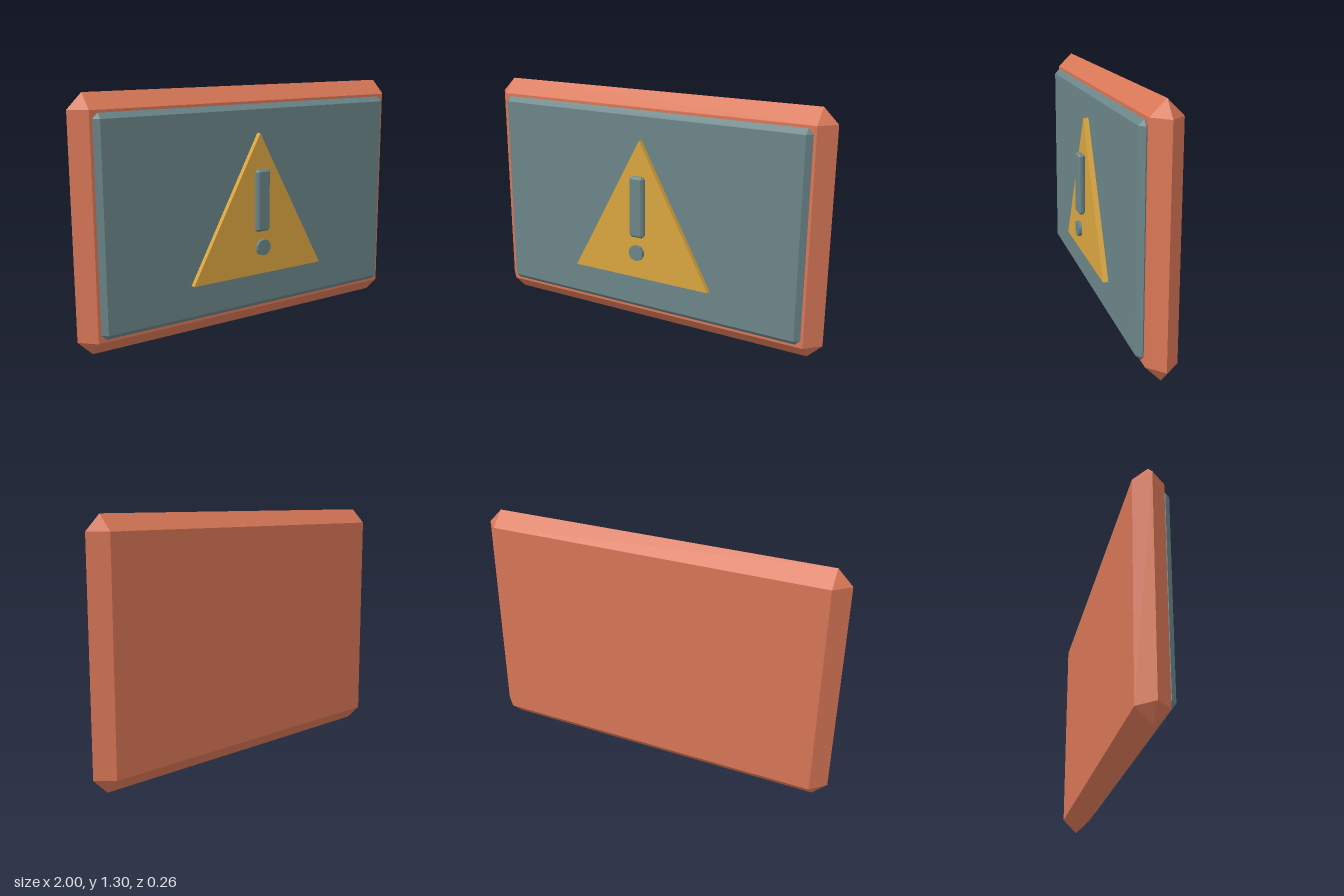
import * as THREE from 'three';
import { ConvexGeometry } from 'three/addons/geometries/ConvexGeometry.js';

const material = (name, color) => {
  const m = new THREE.MeshStandardMaterial({ color });
  m.name = name;
  return m;
};

// Box with every edge and corner cut off by c
function chamferBox(w, h, d, c) {
  const points = new Map();
  const add = (x, y, z) =>
    points.set([x, y, z].map((v) => v.toFixed(4)).join(), new THREE.Vector3(x, y, z));
  for (const sx of [-1, 1]) for (const sy of [-1, 1]) for (const sz of [-1, 1]) {
    const x = w / 2, y = h / 2, z = d / 2;
    add(sx * x, sy * (y - c), sz * (z - c));
    add(sx * (x - c), sy * y, sz * (z - c));
    add(sx * (x - c), sy * (y - c), sz * z);
  }
  return new ConvexGeometry([...points.values()]);
}

export function createModel() {
  const group = new THREE.Group();
  group.name = 'warningSign';
  const red = material('terracotta', 0xd97757);
  const slate = material('slate', 0x6b8589);
  const amber = material('amber', 0xdba640);

  const part = (name, geometry, mat, x, y, z) => {
    const mesh = new THREE.Mesh(geometry, mat);
    mesh.name = name;
    mesh.position.set(x, y, z);
    group.add(mesh);
    return mesh;
  };

  // Thick bevelled frame and the screen set in its front
  part('frame', chamferBox(2, 1.296, 0.156, 0.078), red, 0, 0.648, -0.05);
  part('screen', chamferBox(1.82, 1.11, 0.054, 0.027), slate, 0, 0.65, 0.035);

  // Raised warning triangle
  const shape = new THREE.Shape([
    new THREE.Vector2(-0.413, 0.292),
    new THREE.Vector2(0.413, 0.292),
    new THREE.Vector2(0, 1.055),
  ]);
  const plate = new THREE.ExtrudeGeometry(shape, { depth: 0.03, bevelEnabled: false });
  part('triangle', plate, amber, 0, 0, 0.06);

  // Exclamation mark: bevelled bar and round dot
  part('exclamationBar', chamferBox(0.086, 0.334, 0.038, 0.012), slate, 0, 0.701, 0.109);
  const disc = new THREE.CylinderGeometry(0.044, 0.044, 0.018, 10).rotateX(Math.PI / 2);
  part('exclamationDot', disc.toNonIndexed(), slate, 0, 0.447, 0.119).geometry.computeVertexNormals();

  return group;
}
